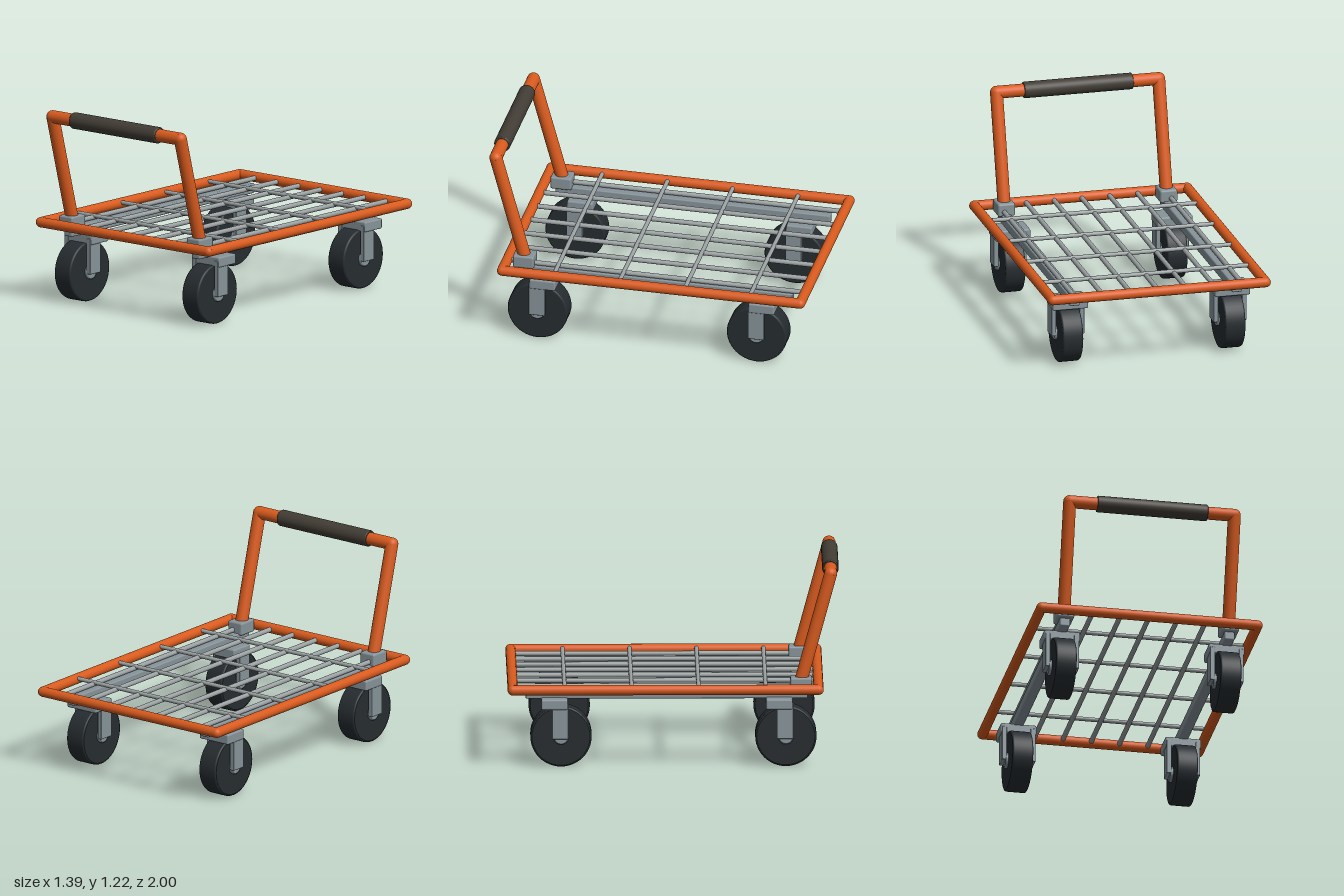
import * as THREE from 'three';
import { RoundedBoxGeometry } from 'three/addons/geometries/RoundedBoxGeometry.js';

const paint = (color) => new THREE.MeshStandardMaterial({ color });
const ORANGE = paint(0xd95b1e);
const STEEL = paint(0x87949a);
const WIRE = paint(0x9ca2a3);
const RUBBER = paint(0x262c30);
const GRIP = paint(0x423d35);

function add(parent, name, geometry, material, x = 0, y = 0, z = 0) {
  const mesh = new THREE.Mesh(geometry, material);
  mesh.name = name;
  mesh.position.set(x, y, z);
  parent.add(mesh);
  return mesh;
}

// Straight round bar between two points
function bar(parent, name, a, b, r, material) {
  const from = new THREE.Vector3(...a), to = new THREE.Vector3(...b);
  const dir = to.clone().sub(from);
  const mesh = add(parent, name, new THREE.CylinderGeometry(r, r, dir.length(), 24), material);
  mesh.position.copy(from).add(to).multiplyScalar(0.5);
  mesh.quaternion.setFromUnitVectors(new THREE.Vector3(0, 1, 0), dir.normalize());
  return mesh;
}

function box(parent, name, w, h, d, x, y, z, r = 0.008) {
  return add(parent, name, new RoundedBoxGeometry(w, h, d, 2, r), STEEL, x, y, z);
}

// Solid round part along x with a small bevel at both ends
function drum(parent, name, r, half, bevel, material, x, y, z) {
  const corner = (cx, sign) => [
    new THREE.Vector2(r - (sign < 0 ? bevel : 0), cx - (sign < 0 ? 0 : bevel)),
    new THREE.Vector2(r - bevel * 0.3, cx - sign * bevel * 0.3),
    new THREE.Vector2(r - (sign < 0 ? 0 : bevel), cx + (sign < 0 ? bevel : 0)),
  ];
  const outline = [...corner(-half, -1), ...corner(half, 1)];
  const g = new THREE.Group();
  g.name = name;
  add(g, name + 'Side', new THREE.LatheGeometry(outline, 48), material);
  // Flat end discs
  for (const s of [-1, 1]) {
    const disc = add(g, name + 'Face', new THREE.CircleGeometry(r - bevel, 48), material, 0, s * half, 0);
    disc.rotation.x = -s * Math.PI / 2;
  }
  g.rotation.z = Math.PI / 2;
  g.position.set(x, y, z);
  parent.add(g);
}

// Wheel with fork, hub and mounting plate
function makeCaster(x, z) {
  const g = new THREE.Group();
  g.name = 'caster';
  drum(g, 'wheel', 0.185, 0.063, 0.01, RUBBER, 0, 0.185, 0);
  drum(g, 'hub', 0.047, 0.08, 0.006, STEEL, 0, 0.185, 0);
  box(g, 'forkPlate', 0.22, 0.063, 0.16, 0, 0.388, -0.04, 0.01);
  for (const s of [-1, 1]) {
    box(g, 'forkLeg', 0.03, 0.22, 0.1, s * 0.088, 0.285, -0.005, 0.005);
  }
  g.position.set(x, 0, z);
  return g;
}

export function createModel() {
  const cart = new THREE.Group();
  cart.name = 'platformCart';

  // Deck frame
  const deckY = 0.488, fx = 0.664, back = -0.969, front = 0.875, fr = 0.031;
  const corners = [[-fx, deckY, back], [fx, deckY, back], [fx, deckY, front], [-fx, deckY, front]];
  corners.forEach((c, i) => {
    bar(cart, 'frameBar', c, corners[(i + 1) % 4], fr, ORANGE);
    add(cart, 'frameCorner', new THREE.SphereGeometry(fr, 24, 16), ORANGE, ...c);
  });

  // Wire mesh deck
  for (let i = -3; i <= 3; i++) {
    const x = i * 0.1735;
    bar(cart, 'longWire', [x, 0.488, -0.953], [x, 0.488, 0.855], 0.015, WIRE);
  }
  for (let i = 0; i < 4; i++) {
    const z = -0.656 + i * 0.404;
    bar(cart, 'crossWire', [-0.638, 0.497, z], [0.638, 0.497, z], 0.013, WIRE);
  }

  // Rails, casters, handle posts with their sockets
  const hx = 0.506, hr = 0.039, topY = 1.172, topZ = 0.95;
  for (const s of [-1, 1]) {
    box(cart, 'underRail', 0.062, 0.06, 1.7, s * hx, 0.441, -0.04);
    cart.add(makeCaster(s * hx, 0.679), makeCaster(s * hx, -0.677));
    box(cart, 'handleSocket', 0.108, 0.08, 0.13, s * hx, 0.5, 0.77, 0.012);
    bar(cart, 'handlePost', [s * hx, 0.48, 0.761], [s * hx, topY, topZ], hr, ORANGE);
    add(cart, 'handleCorner', new THREE.SphereGeometry(hr, 24, 16), ORANGE, s * hx, topY, topZ);
  }

  // Push bar and grip
  bar(cart, 'pushBar', [-hx, topY, topZ], [hx, topY, topZ], hr, ORANGE);
  drum(cart, 'grip', 0.05, 0.339, 0.006, GRIP, 0, topY, topZ);

  return cart;
}
